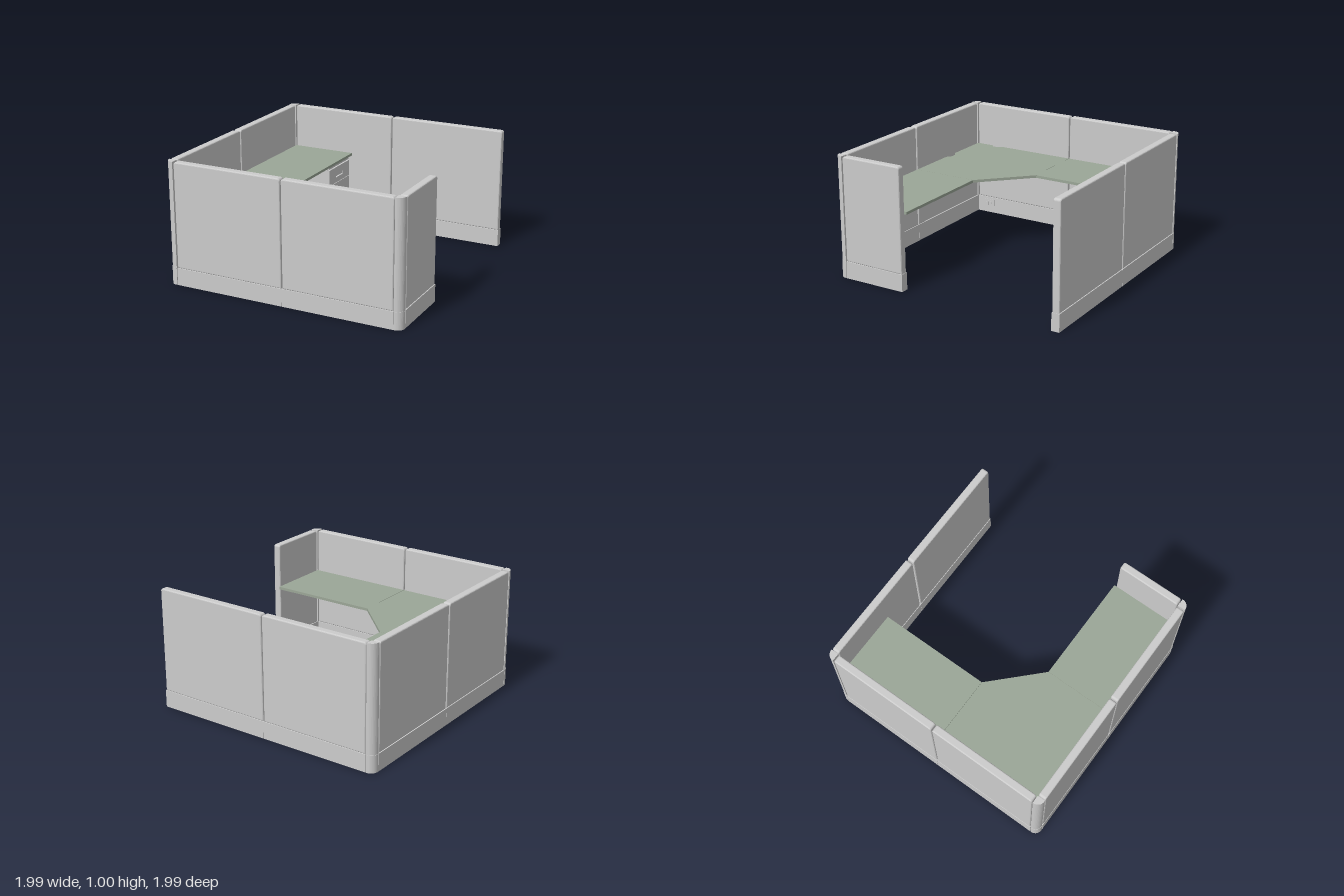
import * as THREE from 'three';

const grey = new THREE.MeshStandardMaterial({ color: 0xcccccc });
const green = new THREE.MeshStandardMaterial({ color: 0x9ba697 });

const H = 1, BASE = 0.142, GAP = 0.004;

function add(parent, name, geometry, material = grey) {
  const mesh = new THREE.Mesh(geometry, material);
  mesh.name = name;
  parent.add(mesh);
  return mesh;
}

// Box given by its two extreme corners
function box(parent, name, [x0, y0, z0], [x1, y1, z1]) {
  const g = new THREE.BoxGeometry(x1 - x0, y1 - y0, z1 - z0);
  g.translate((x0 + x1) / 2, (y0 + y1) / 2, (z0 + z1) / 2);
  return add(parent, name, g);
}

// Flat plate from [x, z] corners, lying between y0 and y1
function plate(parent, name, corners, y0, y1, material) {
  const shape = new THREE.Shape(corners.map(([x, z]) => new THREE.Vector2(x, -z)));
  const g = new THREE.ExtrudeGeometry(shape, { depth: y1 - y0, bevelEnabled: false });
  g.rotateX(-Math.PI / 2).translate(0, y0, 0);
  return add(parent, name, g, material);
}

// Partition panel: softened slab with rounded top corners on a plinth
function panel(parent, name, x0, x1, z0, z1) {
  const group = new THREE.Group();
  group.name = name;
  parent.add(group);
  const alongX = x1 - x0 > z1 - z0;
  const length = alongX ? x1 - x0 : z1 - z0;
  const thick = alongX ? z1 - z0 : x1 - x0;
  const w = length / 2 - GAP, r = 0.02, bevel = 0.01;
  const s = new THREE.Shape();
  s.moveTo(-w, BASE);
  s.lineTo(w, BASE);
  s.lineTo(w, H - r);
  s.absarc(w - r, H - r, r, 0, Math.PI / 2);
  s.lineTo(-w + r, H);
  s.absarc(-w + r, H - r, r, Math.PI / 2, Math.PI);
  s.closePath();
  const g = new THREE.ExtrudeGeometry(s, {
    depth: thick - 2 * bevel - 0.004, bevelSize: bevel, bevelThickness: bevel,
    bevelOffset: -bevel, bevelSegments: 3, curveSegments: 5,
  });
  g.translate(0, 0, -thick / 2 + bevel + 0.002);
  const slab = add(group, 'panelSlab', g);
  slab.position.set((x0 + x1) / 2, 0, (z0 + z1) / 2);
  if (!alongX) slab.rotation.y = Math.PI / 2;
  // Plinth, with a narrow core that closes the joint to the slab
  const e = 0.001, dx = alongX ? e : 0, dz = alongX ? 0 : e;
  box(group, 'panelBase', [x0 + dx, 0, z0 + dz], [x1 - dx, BASE, z1 - dz]);
  const cx = alongX ? 0.02 : 0.024, cz = alongX ? 0.024 : 0.02;
  box(group, 'panelCore', [x0 + cx, BASE - 0.01, z0 + cz], [x1 - cx, BASE + 0.03, z1 - cz]);
}

// Corner post: square with its outer corner rounded; sx, sz point outward
function cornerPost(parent, name, x, z, sx, sz) {
  const group = new THREE.Group();
  group.name = name;
  group.position.set(x, 0, z);
  parent.add(group);
  const section = (size) => {
    const points = [[-sx * 0.033, -sz * 0.033]];
    const r = 0.058, c = size - r;
    points.push([sx * size, -sz * 0.033]);
    for (let i = 0; i <= 10; i++) {
      const a = (i / 10) * Math.PI / 2;
      points.push([sx * (c + r * Math.cos(a)), sz * (c + r * Math.sin(a))]);
    }
    points.push([-sx * 0.033, sz * size]);
    return points;
  };
  plate(group, 'postShaft', section(0.031), BASE, H);
  plate(group, 'postBase', section(0.033), 0, BASE);
}

// Drawer front facing +x, with a recessed pull
function drawer(parent, name, y0, y1, pullY) {
  const z0 = -0.92, z1 = -0.552, mid = -0.737, hw = 0.062, hh = 0.016;
  const s = new THREE.Shape();
  s.moveTo(-z1, y0).lineTo(-z0, y0).lineTo(-z0, y1).lineTo(-z1, y1).closePath();
  const hole = new THREE.Path();
  hole.moveTo(-mid - hw, pullY - hh).lineTo(-mid - hw, pullY + hh);
  hole.lineTo(-mid + hw, pullY + hh).lineTo(-mid + hw, pullY - hh).closePath();
  s.holes.push(hole);
  const g = new THREE.ExtrudeGeometry(s, { depth: 0.018, bevelEnabled: false });
  g.rotateY(Math.PI / 2).translate(-0.418, 0, 0);
  add(parent, name, g);
  box(parent, 'drawerPull', [-0.418, pullY - 0.008, mid - hw + 0.008],
    [-0.404, pullY + hh - 0.002, mid + hw - 0.008]);
}

// Power outlet on the inner face of the left-hand plinth
function outlet(parent, z) {
  const group = new THREE.Group();
  group.name = 'powerOutlet';
  group.position.set(-0.932, 0.086, z);
  parent.add(group);
  box(group, 'outletPlate', [-0.002, -0.036, -0.058], [0.004, 0.036, 0.058]);
  for (const s of [-1, 1]) {
    const c = s * 0.02;
    box(group, 'socket', [0, -0.019, c - 0.014], [0.006, 0.019, c + 0.014]);
    for (const t of [-1, 1])
      box(group, 'socketContact', [0, 0, c + t * 0.006 - 0.002], [0.008, 0.012, c + t * 0.006 + 0.002]);
  }
}

export function createModel() {
  const model = new THREE.Group();
  model.name = 'officeCubicle';

  // Partition walls
  const walls = new THREE.Group();
  walls.name = 'partitionWalls';
  model.add(walls);
  panel(walls, 'backPanelA', -0.93, 0, -1, -0.934);
  panel(walls, 'backPanelB', 0, 0.995, -1, -0.934);
  panel(walls, 'sidePanelA', -1, -0.932, -0.932, 0);
  panel(walls, 'sidePanelB', -1, -0.932, 0, 0.924);
  panel(walls, 'frontPanelA', -0.928, 0, 0.926, 0.994);
  panel(walls, 'frontPanelB', 0, 0.914, 0.926, 0.994);
  panel(walls, 'shortSidePanel', 0.916, 0.982, 0.385, 0.924);
  cornerPost(walls, 'backCornerPost', -0.966, -0.967, -1, -1);
  cornerPost(walls, 'frontCornerPostA', -0.966, 0.961, -1, 1);
  cornerPost(walls, 'frontCornerPostB', 0.949, 0.961, 1, 1);

  // Worktop in three sections, the corner one with cable notches
  const top = new THREE.Group();
  top.name = 'worktop';
  model.add(top);
  const y0 = 0.612, y1 = 0.634, e = 0.0008;
  plate(top, 'worktopReturn',
    [[-0.932, -0.934], [-0.378, -0.934], [-0.378, -e], [-0.932, -e]], y0, y1, green);
  plate(top, 'worktopCorner', [
    [-0.932, e], [-0.378, e], [-e, 0.372], [-e, 0.925],
    [-0.425, 0.925], [-0.46, 0.895], [-0.515, 0.895], [-0.56, 0.925],
    [-0.932, 0.925], [-0.932, 0.775], [-0.905, 0.75], [-0.905, 0.695], [-0.932, 0.67],
  ], y0, y1, green);
  plate(top, 'worktopMain',
    [[e, 0.372], [0.915, 0.372], [0.915, 0.925], [e, 0.925]], y0, y1, green);

  // Drawer pedestal under the return
  const pedestal = new THREE.Group();
  pedestal.name = 'drawerPedestal';
  model.add(pedestal);
  box(pedestal, 'pedestalBody', [-0.925, 0.1, -0.92], [-0.418, 0.612, -0.552]);
  drawer(pedestal, 'lowerDrawer', 0.1, 0.431, 0.272);
  drawer(pedestal, 'upperDrawer', 0.435, 0.573, 0.497);
  box(pedestal, 'pedestalTopRail', [-0.418, 0.58, -0.92], [-0.405, 0.605, -0.552]);

  for (const z of [-0.09, 0.81]) outlet(model, z);
  return model;
}
